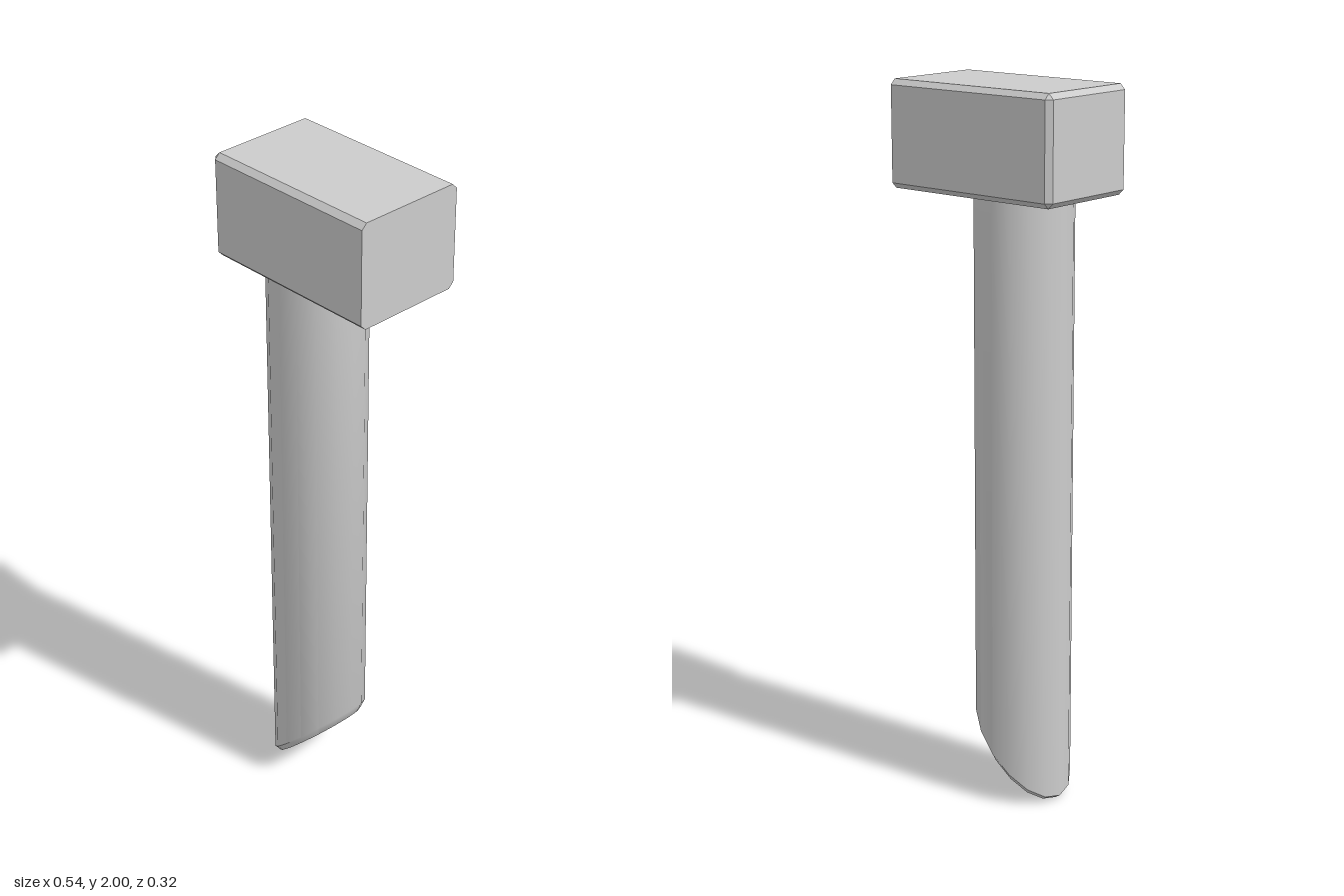
import * as THREE from 'three';
import { toCreasedNormals } from 'three/addons/utils/BufferGeometryUtils.js';
import { ConvexGeometry } from 'three/addons/geometries/ConvexGeometry.js';

const BEVEL = 0.015;

// Block with bevelled long edges and one bevelled end (-x); the +x end is left sharp
function createHead(material) {
  const hx = 0.27, hy = 0.145, hz = 0.162;
  const points = [];
  for (const sy of [-1, 1]) {
    for (const sz of [-1, 1]) {
      points.push(new THREE.Vector3(-hx, sy * (hy - BEVEL), sz * (hz - BEVEL)));
      for (const x of [-hx + BEVEL, hx]) {
        points.push(new THREE.Vector3(x, sy * hy, sz * (hz - BEVEL)));
        points.push(new THREE.Vector3(x, sy * (hy - BEVEL), sz * hz));
      }
    }
  }
  const head = new THREE.Mesh(new ConvexGeometry(points), material);
  head.name = 'head';
  head.position.y = 2 - hy;
  return head;
}

// Round pin whose lower end is sheared into a 45 degree cut with a bevelled rim
function createShaft(material) {
  const r = 0.135;
  const profile = [[0, 0], [r - BEVEL, 0], [r, 0.025], [r, 1.6]]
    .map(([x, y]) => new THREE.Vector2(x, y));
  const geometry = new THREE.LatheGeometry(profile, 16);
  const p = geometry.attributes.position;
  for (let i = 0; i < p.count; i++) {
    if (p.getY(i) < 1) p.setY(i, p.getY(i) + p.getX(i));
  }
  const shaft = new THREE.Mesh(toCreasedNormals(geometry, 0.6), material);
  shaft.name = 'shaft';
  shaft.position.set(-0.055, r - BEVEL, 0);
  return shaft;
}

export function createModel() {
  const metal = new THREE.MeshStandardMaterial({ color: 0xcccccc });
  metal.name = 'light grey metal';
  const model = new THREE.Group();
  model.name = 'slantedPin';
  model.add(createHead(metal), createShaft(metal));
  return model;
}
